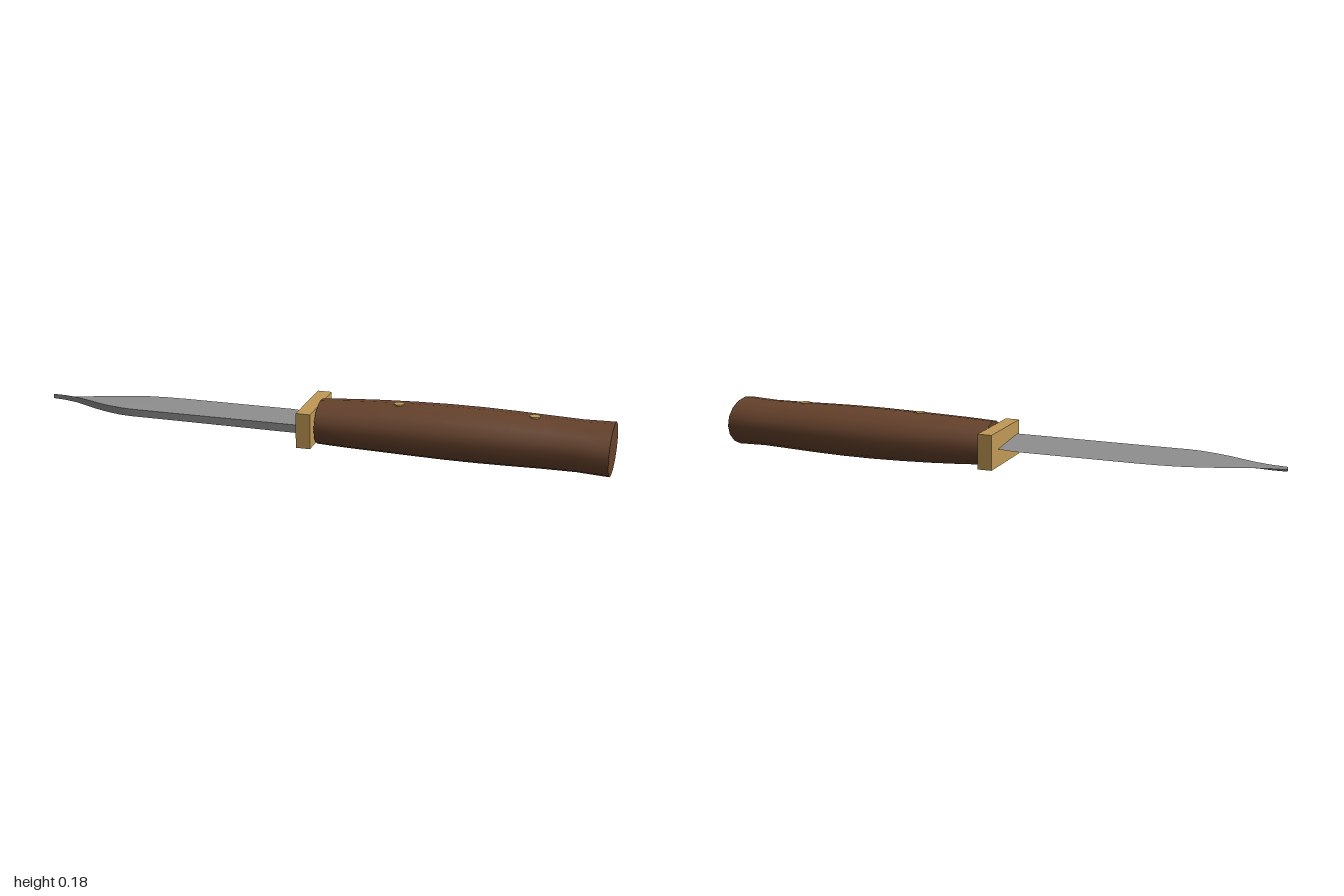
import * as THREE from 'three';
import { toCreasedNormals } from 'three/addons/utils/BufferGeometryUtils.js';

const MID_Y = 0.09;

// Closed skin over equal-length rings ordered along +x, with both ends capped.
function loft(rings, crease) {
  const n = rings[0].length, last = (rings.length - 1) * n;
  const index = [];
  for (let i = 0; i < rings.length - 1; i++) {
    for (let j = 0; j < n; j++) {
      const a = i * n + j, c = i * n + (j + 1) % n;
      index.push(a, a + n, c, a + n, c + n, c);
    }
  }
  for (let j = 1; j < n - 1; j++) {
    index.push(0, j, j + 1, last, last + j + 1, last + j);
  }
  const geo = new THREE.BufferGeometry();
  geo.setAttribute('position', new THREE.Float32BufferAttribute(rings.flat(2), 3));
  geo.setIndex(index);
  return toCreasedNormals(geo, crease);
}

export function createModel() {
  const group = new THREE.Group();
  const steel = new THREE.MeshStandardMaterial({ color: 0x8f8f8f });
  const brass = new THREE.MeshStandardMaterial({ color: 0xc09a55 });
  const wood = new THREE.MeshStandardMaterial({ color: 0x66422c });

  const add = (name, geometry, material, x = 0, y = 0, z = 0) => {
    const mesh = new THREE.Mesh(geometry, material);
    mesh.name = name;
    mesh.position.set(x, y, z);
    group.add(mesh);
  };

  // Blade wedge: x, sharp edge z, spine z, half thickness of the spine
  const bladeStations = [
    [-1, 0.014, 0.02, 0.008], [-0.95, 0.009, 0.024, 0.009],
    [-0.9, -0.004, 0.036, 0.01], [-0.85, -0.021, 0.057, 0.011],
    [-0.8, -0.04, 0.079, 0.012], [-0.75, -0.056, 0.097, 0.0125],
    [-0.7, -0.069, 0.109, 0.013], [-0.66, -0.077, 0.114, 0.013],
    [-0.6, -0.083, 0.114, 0.013], [-0.53, -0.086, 0.114, 0.013],
    [-0.13, -0.086, 0.114, 0.014], [-0.08, -0.081, 0.114, 0.014],
    [-0.03, -0.066, 0.114, 0.014],
  ];
  const bladeRings = bladeStations.map(([x, edge, spine, h]) => [
    [x, MID_Y - h, spine], [x, MID_Y + h, spine], [x, MID_Y, edge],
  ]);
  add('blade', loft(bladeRings, 0.6), steel);

  // Crossguard
  add('guard', new THREE.BoxGeometry(0.05, 0.122, 0.262), brass, -0.02, MID_Y, 0);

  // Handle: oval sections set square to a gently bowed path
  const path = new THREE.CatmullRomCurve3([
    [0.006, 0.011], [0.25, -0.002], [0.5, -0.004], [0.75, 0.0], [0.992, 0.011],
  ].map(([x, z]) => new THREE.Vector3(x, MID_Y, z)));
  const widths = [0.1, 0.107, 0.114, 0.119, 0.122, 0.122, 0.12, 0.116, 0.113, 0.115];
  const heights = [0.075, 0.081, 0.085, 0.088, 0.09, 0.09, 0.088, 0.085, 0.083, 0.087];
  const handleRings = widths.map((w, i) => {
    const t = i / (widths.length - 1);
    const p = path.getPoint(t), d = path.getTangent(t);
    return Array.from({ length: 16 }, (_, j) => {
      const a = j * Math.PI / 8, side = w * Math.cos(a);
      return [p.x - d.z * side, p.y + heights[i] * Math.sin(a), p.z + d.x * side];
    });
  });
  add('handle', loft(handleRings, 0.8), wood);

  // Pins running through the handle
  for (const x of [0.28, 0.735]) {
    add('pin', new THREE.CylinderGeometry(0.018, 0.018, 0.175, 12), brass, x, MID_Y, 0.006);
  }
  return group;
}
